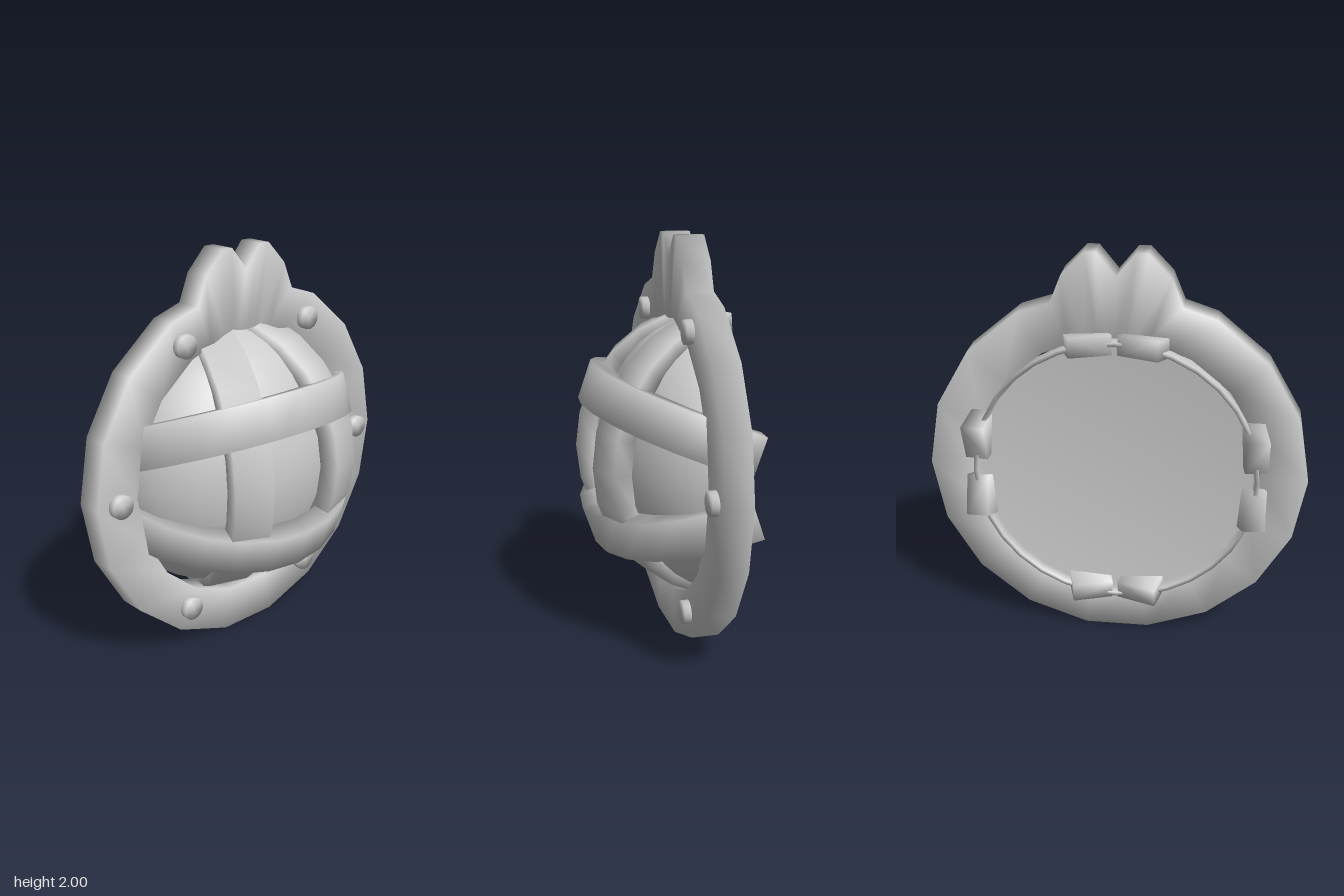
import * as THREE from 'three';
import { mergeVertices } from 'three/addons/utils/BufferGeometryUtils.js';

const material = new THREE.MeshStandardMaterial({ color: 0xcccccc });

function mesh(name, geometry) {
  const m = new THREE.Mesh(geometry, material);
  m.name = name;
  return m;
}

// Weld all corners so the normals blend softly over every edge
function soften(geometry) {
  geometry.deleteAttribute('normal');
  geometry.deleteAttribute('uv');
  const g = mergeVertices(geometry, 1e-4);
  g.computeVertexNormals();
  return g;
}

// Skin a run of four-cornered cross-sections, closed into a loop or capped
function loft(sections, closed) {
  const index = [];
  const n = sections.length;
  for (let i = 0; i < (closed ? n : n - 1); i++) {
    const a = i * 4, b = ((i + 1) % n) * 4;
    for (let k = 0; k < 4; k++) {
      const l = (k + 1) % 4;
      index.push(a + k, a + l, b + k, a + l, b + l, b + k);
    }
  }
  if (!closed) {
    const e = (n - 1) * 4;
    index.push(0, 2, 1, 0, 3, 2, e, e + 1, e + 2, e, e + 2, e + 3);
  }
  const g = new THREE.BufferGeometry();
  g.setAttribute('position', new THREE.Float32BufferAttribute(sections.flat(2), 3));
  g.setIndex(index);
  g.computeVertexNormals();
  return g;
}

// Flat rim: 18-sided ring whose top swells into two peaks
function rimGeometry() {
  const cy = 0.907, front = -0.085, back = -0.22;
  const half = []; // outer x, outer y, inner x, inner y
  for (let deg = -80; deg <= 60; deg += 20) {
    const a = THREE.MathUtils.degToRad(deg), c = Math.cos(a), s = Math.sin(a);
    half.push([0.92 * c, cy + 0.92 * s, 0.695 * c, cy + 0.695 * s]);
  }
  half.push(
    [0.305, 1.755, 0.23, 1.555],
    [0.25, 1.89, 0.15, 1.59],
    [0.145, 2.0, 0.09, 1.61],
    [0.09, 2.0, 0.05, 1.6]
  );
  const mirrored = half.map(([ox, oy, ix, iy]) => [-ox, oy, -ix, iy]).reverse();
  const all = [...half, [0, 1.89, 0, 1.595], ...mirrored];
  return loft(all.map(([ox, oy, ix, iy]) => [
    [ox, oy, front], [ox, oy, back], [ix, iy, back], [ix, iy, front]
  ]), true);
}

// Curved band of rectangular section, bowed toward +z
function strapGeometry(outer, inner, width) {
  const sections = [], steps = 12, reach = THREE.MathUtils.degToRad(85), h = width / 2;
  for (let i = 0; i <= steps; i++) {
    const a = reach * (2 * i / steps - 1), s = Math.sin(a), c = Math.cos(a);
    sections.push([
      [outer * s, h, outer * c], [outer * s, -h, outer * c],
      [inner * s, -h, inner * c], [inner * s, h, inner * c]
    ]);
  }
  return loft(sections, false);
}

// Shallow dome with a slightly recessed back
function domeGeometry() {
  const points = [[0, -0.245], [0.66, -0.245], [0.67, -0.29]];
  for (let i = 0; i <= 10; i++) {
    const a = (i / 10) * Math.PI / 2;
    points.push([i === 10 ? 0 : 0.69 * Math.cos(a), -0.29 + 0.54 * Math.sin(a)]);
  }
  const g = new THREE.LatheGeometry(points.map(p => new THREE.Vector2(...p)), 32);
  g.rotateX(Math.PI / 2);
  return soften(g);
}

export function createModel() {
  const model = new THREE.Group();
  model.name = 'strappedDome';
  model.rotation.y = 0.016;

  model.add(mesh('rim', rimGeometry()));

  const dome = mesh('dome', domeGeometry());
  dome.position.y = 0.915;
  model.add(dome);

  // Four straps leaning outward: two across, two upright just beneath them
  const names = ['upperStrap', 'rightStrap', 'lowerStrap', 'leftStrap'];
  names.forEach((name, i) => {
    const across = i % 2 === 0;
    const holder = new THREE.Group();
    holder.name = name + 'Holder';
    holder.position.set(0, 0.925, -0.37);
    holder.rotation.z = i * Math.PI / 2;
    const strap = mesh(name, strapGeometry(across ? 0.73 : 0.715, 0.62, 0.2));
    strap.position.y = across ? 0.122 : 0.09;
    strap.rotation.x = -THREE.MathUtils.degToRad(across ? 19 : 18);
    holder.add(strap);
    model.add(holder);
  });

  // Six round studs on the rim
  const studGeometry = soften(new THREE.CylinderGeometry(0.058, 0.058, 0.06, 20));
  for (let i = 0; i < 6; i++) {
    const a = i * Math.PI / 3;
    const stud = mesh('stud' + (i + 1), studGeometry);
    stud.rotation.x = Math.PI / 2;
    stud.position.set(0.8 * Math.cos(a), 0.905 + 0.79 * Math.sin(a), -0.08);
    model.add(stud);
  }
  return model;
}
